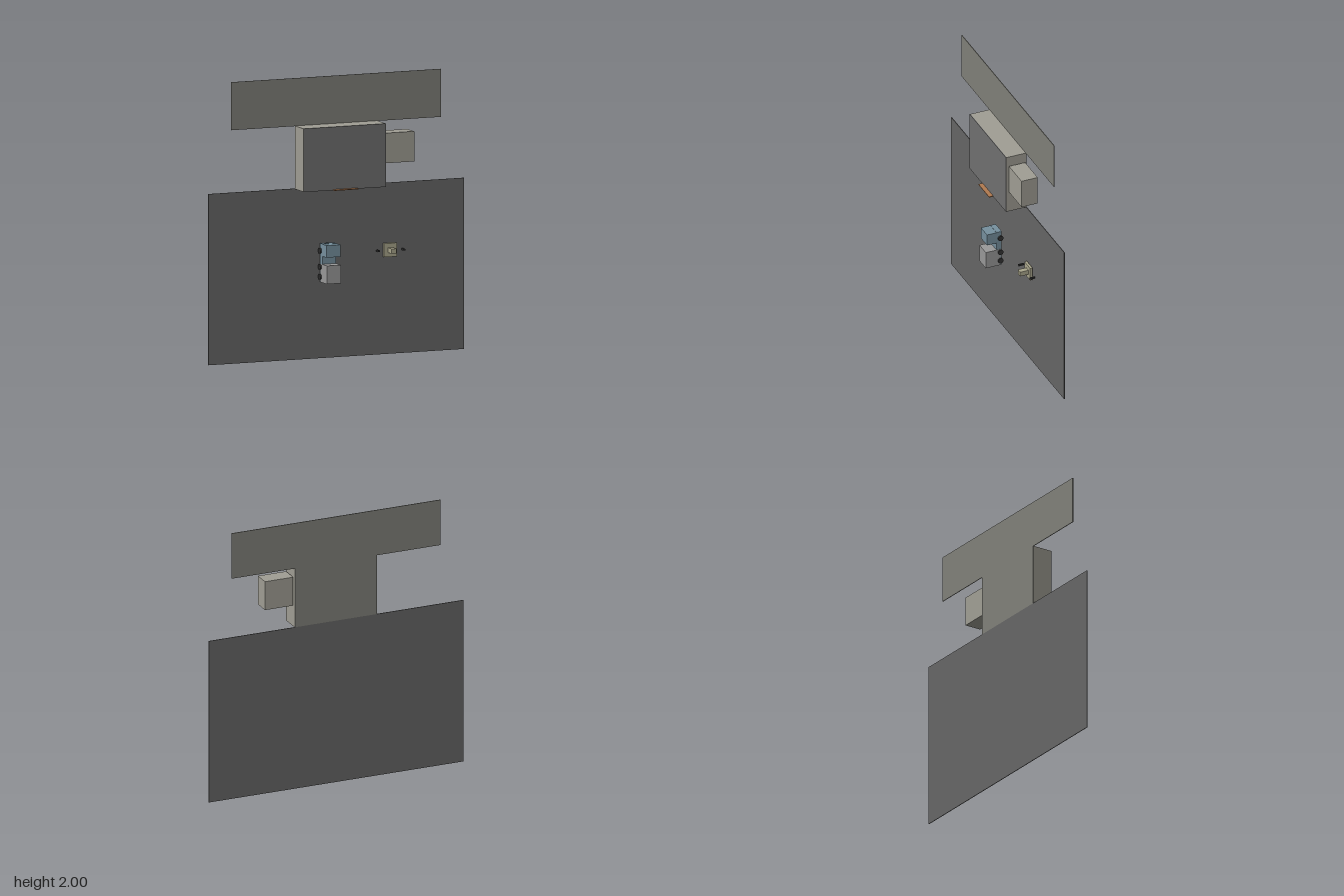
import * as THREE from 'three';

const mat = (color) => new THREE.MeshStandardMaterial({ color, flatShading: true });
const asphalt = mat(0x666666), wallGrey = mat(0x808079), trim = mat(0x707070);
const concrete = mat(0xa09e94), blue = mat(0x76909e), cargoGrey = mat(0x999999);
const sand = mat(0xaaa68c), orange = mat(0xb07a50), dark = mat(0x333333);

// Box given by its extents along each axis
function box(parent, name, material, [x0, x1], [y0, y1], [z0, z1]) {
  const mesh = new THREE.Mesh(new THREE.BoxGeometry(x1 - x0, y1 - y0, z1 - z0), material);
  mesh.position.set((x0 + x1) / 2, (y0 + y1) / 2, (z0 + z1) / 2);
  mesh.name = name;
  parent.add(mesh);
  return mesh;
}

function group(parent, name) {
  const g = new THREE.Group();
  g.name = name;
  parent.add(g);
  return g;
}

export function createModel() {
  const model = new THREE.Group();
  model.name = 'stationDiorama';

  // Large thin panels
  const sheet = [-0.095, -0.09];
  box(model, 'yardPanel', asphalt, [-0.979, 0.979], [0, 1.216], sheet);
  box(model, 'upperPanel', wallGrey, [-0.804, 0.804], [1.659, 2], sheet);

  // Main building with a thin front slab, and the annex beside it
  const building = group(model, 'building');
  box(building, 'backWall', wallGrey, [-0.315, 0.315], [1.216, 1.659], sheet);
  box(building, 'buildingBody', concrete, [-0.315, 0.315], [1.212, 1.661], [-0.09, 0.057]);
  box(building, 'frontSlab', trim, [-0.315, 0.315], [1.211, 1.661], [0.057, 0.062]);
  box(building, 'frontLedge', orange, [-0.092, 0.092], [1.211, 1.217], [0.062, 0.094]);
  for (const s of [-1, 1]) {
    box(building, 'baseStrip', dark, [s * 0.185 - 0.05, s * 0.185 + 0.05], [1.207, 1.212], [-0.045, -0.038]);
  }
  box(model, 'annex', concrete, [0.324, 0.541], [1.376, 1.59], [-0.081, 0.043]);

  // Truck standing on the yard panel, its roof toward +z
  const truck = group(model, 'truck');
  box(truck, 'chassis', blue, [-0.137, -0.032], [0.547, 0.822], [-0.058, -0.018]);
  box(truck, 'cab', blue, [-0.138, -0.031], [0.734, 0.82], [-0.058, 0.055]);
  box(truck, 'cargoBox', cargoGrey, [-0.139, -0.03], [0.547, 0.677], [-0.05, 0.065]);
  const wheelShape = new THREE.CylinderGeometry(0.02, 0.02, 0.016, 16);
  for (const x of [-0.141, -0.028]) {
    for (const y of [0.77, 0.655, 0.585]) {
      const wheel = new THREE.Mesh(wheelShape, dark);
      wheel.name = 'wheel';
      wheel.rotation.z = Math.PI / 2;
      wheel.position.set(x, y, -0.047);
      truck.add(wheel);
    }
  }

  // Square pedestal with a post and two flanking pegs
  const pump = group(model, 'pedestal');
  box(pump, 'pedestalBase', sand, [0.354, 0.454], [0.692, 0.79], [-0.081, -0.062]);
  box(pump, 'pedestalPost', sand, [0.385, 0.423], [0.724, 0.758], [-0.062, 0.003]);
  for (const s of [-1, 1]) {
    const x = 0.404 + s * 0.097;
    box(pump, 'sidePeg', dark, [x - 0.006, x + 0.006], [0.734, 0.746], [-0.077, -0.037]);
  }

  return model;
}
